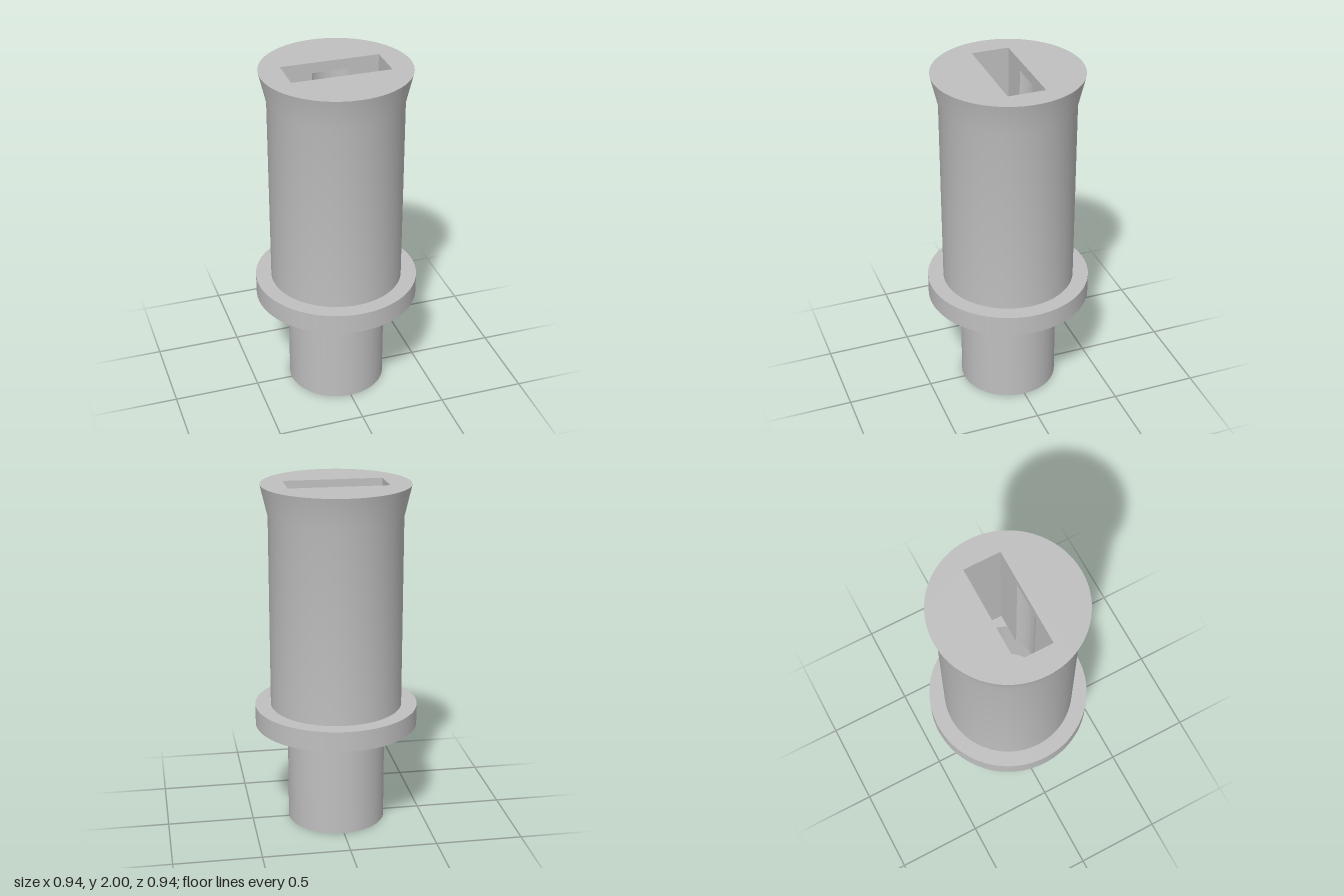
import * as THREE from 'three';
import { toCreasedNormals } from 'three/addons/utils/BufferGeometryUtils.js';

const BORE = 0.148, CHAMBER = 0.235, HX = 0.283, HZ = 0.107;
const TOP = 2, BORE_TOP = 1.94, SLOT_FLOOR = 1.15, CHAMBER_FLOOR = 0.71;

// Points along a circular arc
function arc(r, a0, a1, n = 24) {
  return Array.from({ length: n + 1 }, (_, i) => {
    const a = a0 + (a1 - a0) * i / n;
    return new THREE.Vector2(r * Math.cos(a), r * Math.sin(a));
  });
}

// Inward-facing vertical wall around a closed outline of (x, z) points
function innerWall(outline, y0, y1) {
  const pos = [];
  outline.forEach((p, i) => {
    const q = outline[(i + 1) % outline.length];
    pos.push(p.x, y0, p.y, q.x, y0, q.y, q.x, y1, q.y);
    pos.push(p.x, y0, p.y, q.x, y1, q.y, p.x, y1, p.y);
  });
  const g = new THREE.BufferGeometry();
  g.setAttribute('position', new THREE.Float32BufferAttribute(pos, 3));
  return toCreasedNormals(g, 0.5);
}

// Flat horizontal face at height y, facing up or down
function flatFace(shape, y, up) {
  return new THREE.ShapeGeometry(shape, 96).rotateX(up ? -Math.PI / 2 : Math.PI / 2).translate(0, y, 0);
}

export function createModel() {
  const model = new THREE.Group();
  const grey = new THREE.MeshStandardMaterial({ color: 0xbfbfbf });
  grey.name = 'grey';
  const add = (name, geometry, turn = 0) => {
    const mesh = new THREE.Mesh(geometry, grey);
    mesh.name = name;
    mesh.rotation.y = turn;
    model.add(mesh);
  };
  const v = (x, y) => new THREE.Vector2(x, y);

  // Chamber, bore, neck, flange, barrel and flared rim in one turned profile
  const profile = [
    [CHAMBER, SLOT_FLOOR], [CHAMBER, CHAMBER_FLOOR], [BORE, CHAMBER_FLOOR], [BORE, 0],
    [0.283, 0], [0.283, 0.592], [0.47, 0.592], [0.47, 0.71],
    [0.38, 0.71], [0.38, 1.82], [0.422, TOP],
  ].map(([r, y]) => v(r, y));
  add('turnedBody', toCreasedNormals(new THREE.LatheGeometry(profile, 96), 0.5));

  // Top face with the slot opening
  const rect = [v(HX, HZ), v(-HX, HZ), v(-HX, -HZ), v(HX, -HZ)];
  const cap = new THREE.Shape().absarc(0, 0, 0.422, 0, Math.PI * 2);
  cap.holes.push(new THREE.Path(rect));
  add('topFace', flatFace(cap, TOP, true));

  // Slot mouth, then the deeper slot joined with the round bore
  const a1 = Math.asin(HZ / BORE), a2 = Math.asin(HZ / CHAMBER), PI = Math.PI;
  add('slotMouth', innerWall(rect, BORE_TOP, TOP));
  add('slotWalls', innerWall([
    v(HX, HZ), ...arc(BORE, a1, PI - a1), v(-HX, HZ),
    v(-HX, -HZ), ...arc(BORE, PI + a1, 2 * PI - a1), v(HX, -HZ),
  ], SLOT_FLOOR, BORE_TOP));

  // Ledges where the slot, bore and chamber meet, on both sides
  const boreCeiling = new THREE.Shape(arc(BORE, a1, PI - a1));
  const chamberCeiling = new THREE.Shape([...arc(CHAMBER, a2, PI - a2), ...arc(BORE, PI - a1, a1)]);
  const slotEnd = new THREE.Shape([v(HX, -HZ), v(HX, HZ), ...arc(CHAMBER, a2, -a2)]);
  for (const turn of [0, PI]) {
    add('boreCeiling', flatFace(boreCeiling, BORE_TOP, false), turn);
    add('chamberCeiling', flatFace(chamberCeiling, SLOT_FLOOR, false), turn);
    add('slotFloor', flatFace(slotEnd, SLOT_FLOOR, true), turn);
  }
  return model;
}
